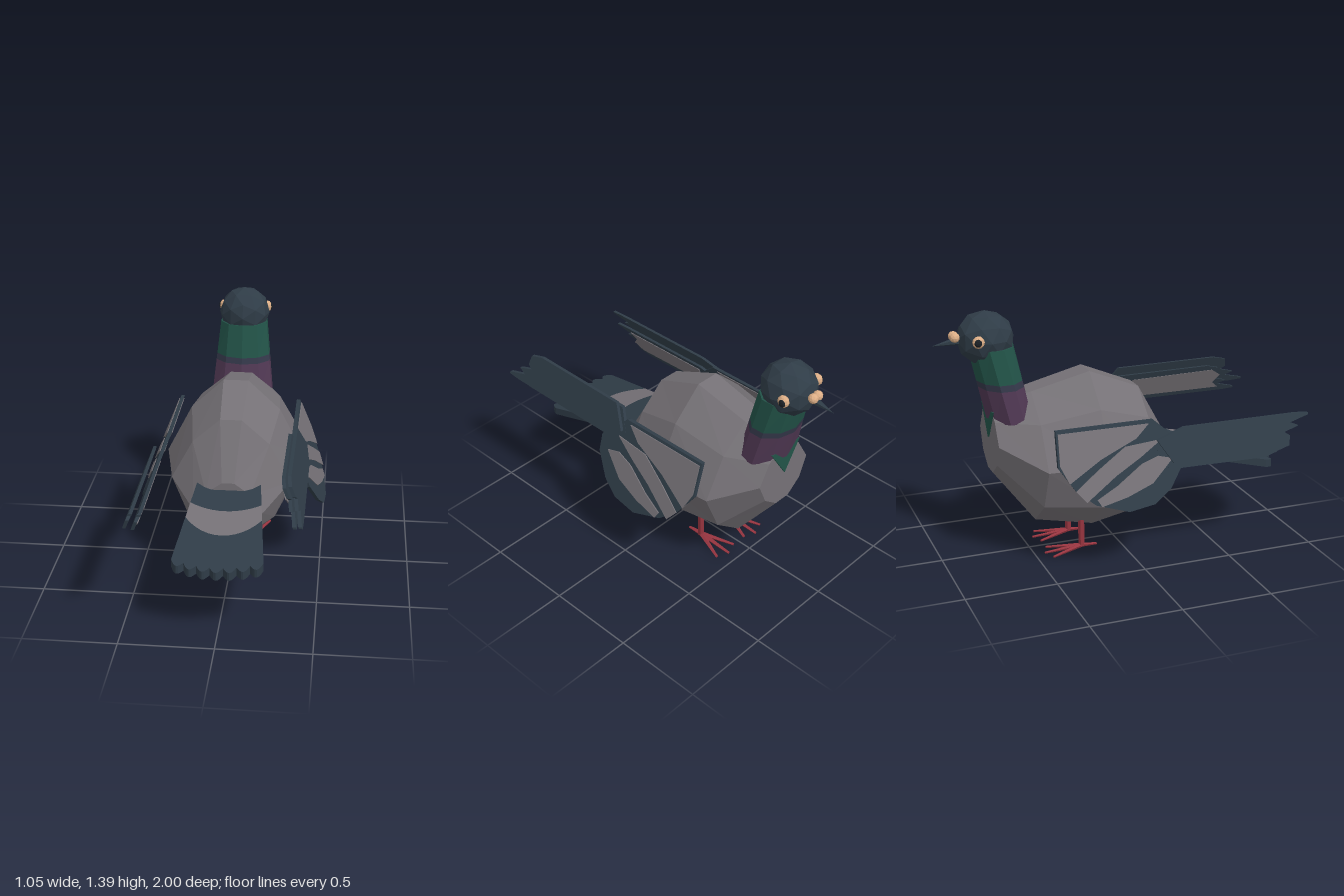
import * as THREE from 'three';

const mat = (name, color) => {
  const m = new THREE.MeshStandardMaterial({ color });
  m.name = name;
  return m;
};

export function createModel() {
  const grey = mat('featherGrey', 0x757176);
  const slate = mat('slate', 0x2f3c47);
  const green = mat('neckGreen', 0x225348);
  const purple = mat('neckPurple', 0x503853);
  const band = mat('neckBand', 0x34384a);
  const red = mat('legRed', 0x96343f);
  const tan = mat('tan', 0xdcae86);
  const black = mat('pupil', 0x1c2126);

  const root = new THREE.Group();
  root.name = 'bird';
  const add = (name, geo, material, parent = root) => {
    const g = geo.index ? geo.toNonIndexed() : geo;
    g.computeVertexNormals(); // flat facets
    const m = new THREE.Mesh(g, material);
    m.name = name;
    parent.add(m);
    return m;
  };

  // Skin over a list of rings, closed at both ends
  const loft = (rings) => {
    const pos = [];
    const tri = (...p) => p.forEach((q) => pos.push(...q));
    const n = rings[0].length, last = rings[rings.length - 1];
    for (let r = 0; r < rings.length - 1; r++)
      for (let i = 0; i < n; i++) {
        const j = (i + 1) % n;
        const a = rings[r][i], b = rings[r][j], c = rings[r + 1][j], d = rings[r + 1][i];
        tri(a, d, b);
        tri(b, d, c);
      }
    for (let i = 1; i < n - 1; i++) {
      tri(rings[0][0], rings[0][i], rings[0][i + 1]);
      tri(last[0], last[i + 1], last[i]);
    }
    const g = new THREE.BufferGeometry();
    g.setAttribute('position', new THREE.Float32BufferAttribute(pos, 3));
    return g;
  };

  // Shift every vertex by a rule
  const warp = (g, rule) => {
    const p = g.attributes.position, v = new THREE.Vector3();
    for (let i = 0; i < p.count; i++) {
      rule(v.fromBufferAttribute(p, i));
      p.setXYZ(i, v.x, v.y, v.z);
    }
    return g;
  };
  const extrude = (pts, depth) => {
    const shape = new THREE.Shape(pts.map(([x, y]) => new THREE.Vector2(x, y)));
    return new THREE.ExtrudeGeometry(shape, { depth, bevelEnabled: false }).translate(0, 0, -depth / 2);
  };

  // Body: ten-sided sections from rump to breast
  const half = [[0.26, 0], [0.74, 0.19], [1, 0.5], [0.64, 0.81], [0.18, 1]];
  const section = [...half, ...half.map(([x, t]) => [-x, t]).reverse()];
  const bodyRings = [ // z, half width, bottom, top
    [0.30, 0.19, 0.26, 0.60],
    [0.13, 0.33, 0.19, 0.90],
    [-0.16, 0.39, 0.14, 1.02],
    [-0.49, 0.36, 0.21, 0.94],
    [-0.71, 0.19, 0.50, 0.88],
  ].map(([z, w, y0, y1]) => section.map(([x, t]) => [x * w, y0 + (y1 - y0) * t, z]));
  add('body', loft(bodyRings), grey);

  // Neck: leaning tapered bands
  const neckRing = (y) => {
    const t = (y - 0.86) / 0.33;
    return Array.from({ length: 10 }, (_, i) => {
      const a = ((i + 0.5) / 10) * Math.PI * 2;
      return [Math.cos(a) * (0.178 - 0.036 * t), y, -0.612 - 0.075 * t + Math.sin(a) * 0.125];
    });
  };
  [['neckLower', 0.8, 0.98, purple], ['neckRing', 0.98, 1.015, band], ['neckUpper', 1.015, 1.2, green]]
    .forEach(([name, a, b, m]) => add(name, loft([neckRing(a), neckRing(b)]), m));
  add('breastPatch', extrude([[-0.11, 0.86], [0, 0.69], [0.11, 0.86]], 0.009).translate(0, 0, -0.714), green);

  // Head, beak and eyes
  add('head', new THREE.IcosahedronGeometry(0.155, 1).scale(0.95, 0.95, 1).translate(0, 1.243, -0.715), slate);
  const beak = new THREE.ConeGeometry(0.028, 0.16, 6).rotateX(-Math.PI / 2).translate(0, 0, -0.92);
  add('beak', warp(beak, (v) => { v.y += 1.243 + (v.z + 0.84) * 0.13; }), slate);
  for (const s of [-1, 1]) {
    add('cere', new THREE.IcosahedronGeometry(0.027, 1).translate(s * 0.018, 1.262, -0.882), tan);
    add('eye', new THREE.SphereGeometry(0.033, 10, 6).scale(0.8, 1, 1).translate(s * 0.13, 1.255, -0.785), tan);
    add('pupil', new THREE.SphereGeometry(0.021, 8, 6).scale(0.6, 1, 1).translate(s * 0.148, 1.255, -0.79), black);
  }

  // Legs with three front toes and one hind toe
  for (const s of [-1, 1]) {
    const leg = new THREE.Group();
    leg.name = s > 0 ? 'leftLeg' : 'rightLeg';
    leg.position.set(s * 0.115, 0, -0.23);
    root.add(leg);
    add('shank', new THREE.CylinderGeometry(0.018, 0.018, 0.21, 6).translate(0, 0.125, 0), red, leg);
    for (const [angle, len] of [[-0.36, 0.2], [0, 0.215], [0.36, 0.2], [Math.PI, 0.09]]) {
      const toe = new THREE.CylinderGeometry(0.008, 0.016, len, 5).rotateX(-Math.PI / 2)
        .translate(0, 0, -len / 2).scale(1, 0.75, 1);
      warp(toe, (v) => { v.y += 0.025 + v.z * 0.07; });
      add('toe', toe.rotateY(angle), red, leg);
    }
  }

  // Tail: sloping slab in three bands, scalloped at the end
  const tailHalf = (z) => 0.17 + 0.1 * (z - 0.2);
  const edge = (fn, n = 12) => Array.from({ length: n + 1 }, (_, i) => {
    const k = (i / n) * 2 - 1, z = fn(k);
    return [k * tailHalf(z), z];
  });
  const tailEdges = [
    edge(() => 0.2),
    edge((k) => 0.41 + 0.06 * (1 - k * k)),
    edge((k) => 0.53 + 0.13 * (1 - k * k)),
    edge((k) => 0.85 + 0.05 * (1 - k * k) + 0.035 * Math.abs(Math.cos(k * Math.PI * 3.5)), 42),
  ];
  ['tailBase', 'tailBand', 'tailTip'].forEach((name, i) => {
    const pts = [...tailEdges[i], ...[...tailEdges[i + 1]].reverse()].map(([x, z]) => [x, -z]);
    const g = extrude(pts, 0.045).rotateX(-Math.PI / 2);
    add(name, warp(g, (v) => { v.y += 0.56 - (v.z - 0.2) * 0.233; }), i === 1 ? grey : slate);
  });

  // Wings: plates drawn as (z, y) and leaned outward toward the bottom
  const plate = (pts, thick, s, offset) => {
    const g = extrude(pts.map(([z, y]) => [-z, y]), thick).rotateY(Math.PI / 2);
    return warp(g, (v) => { v.x += s * (0.34 + (0.8 - v.y) * 0.4 + offset); });
  };
  const wingOutline = [[0.1, 0.8], [-0.45, 0.8], [-0.46, 0.62], [-0.38, 0.5], [-0.28, 0.42], [-0.1, 0.365],
    [0.05, 0.385], [0.15, 0.45], [0.24, 0.57], [0.25, 0.66], [0.18, 0.73]];
  const wingPatches = [
    [[0.07, 0.785], [-0.44, 0.785], [-0.45, 0.63], [-0.41, 0.54], [-0.22, 0.64], [-0.01, 0.72]],
    [[0.13, 0.7], [-0.08, 0.685], [-0.25, 0.585], [-0.38, 0.5], [-0.33, 0.44], [-0.15, 0.55], [0, 0.625]],
    [[0.18, 0.6], [0.1, 0.62], [0, 0.59], [-0.15, 0.5], [-0.27, 0.445], [-0.25, 0.41], [-0.1, 0.44], [0.05, 0.49]],
  ];
  const feathers = [[0.17, 0.885], [0.78, 0.89], [0.86, 0.87], [0.87, 0.82], [0.84, 0.8], [0.93, 0.775],
    [0.88, 0.755], [1, 0.725], [1, 0.715], [0.92, 0.71], [0.25, 0.71], [0.09, 0.76]];
  const innerPatch = [[0.25, 0.85], [0.76, 0.86], [0.82, 0.82], [0.78, 0.77], [0.82, 0.735], [0.25, 0.735]];

  for (const s of [-1, 1]) {
    const wing = new THREE.Group();
    wing.name = s > 0 ? 'leftWing' : 'rightWing';
    root.add(wing);
    add('wingPanel', plate(wingOutline, 0.02, s, 0), slate, wing);
    wingPatches.forEach((p) => add('wingPatch', plate(p, 0.03, s, 0), grey, wing));
    // flight feathers sit lower and turned over on the right wing
    const place = (pts, dy, zs = 1) => pts.map(([z, y]) => [z * zs, (s > 0 ? y : 1.47 - y) + dy]);
    add('outerFeathers', plate(place(feathers, 0), 0.018, s, 0.05), slate, wing);
    add('innerFeathers', plate(place(feathers, -0.04, 0.93), 0.018, s, 0.002), slate, wing);
    add('innerFeatherPatch', plate(place(innerPatch, -0.04), 0.006, s, -0.009), grey, wing);
  }
  return root;
}
